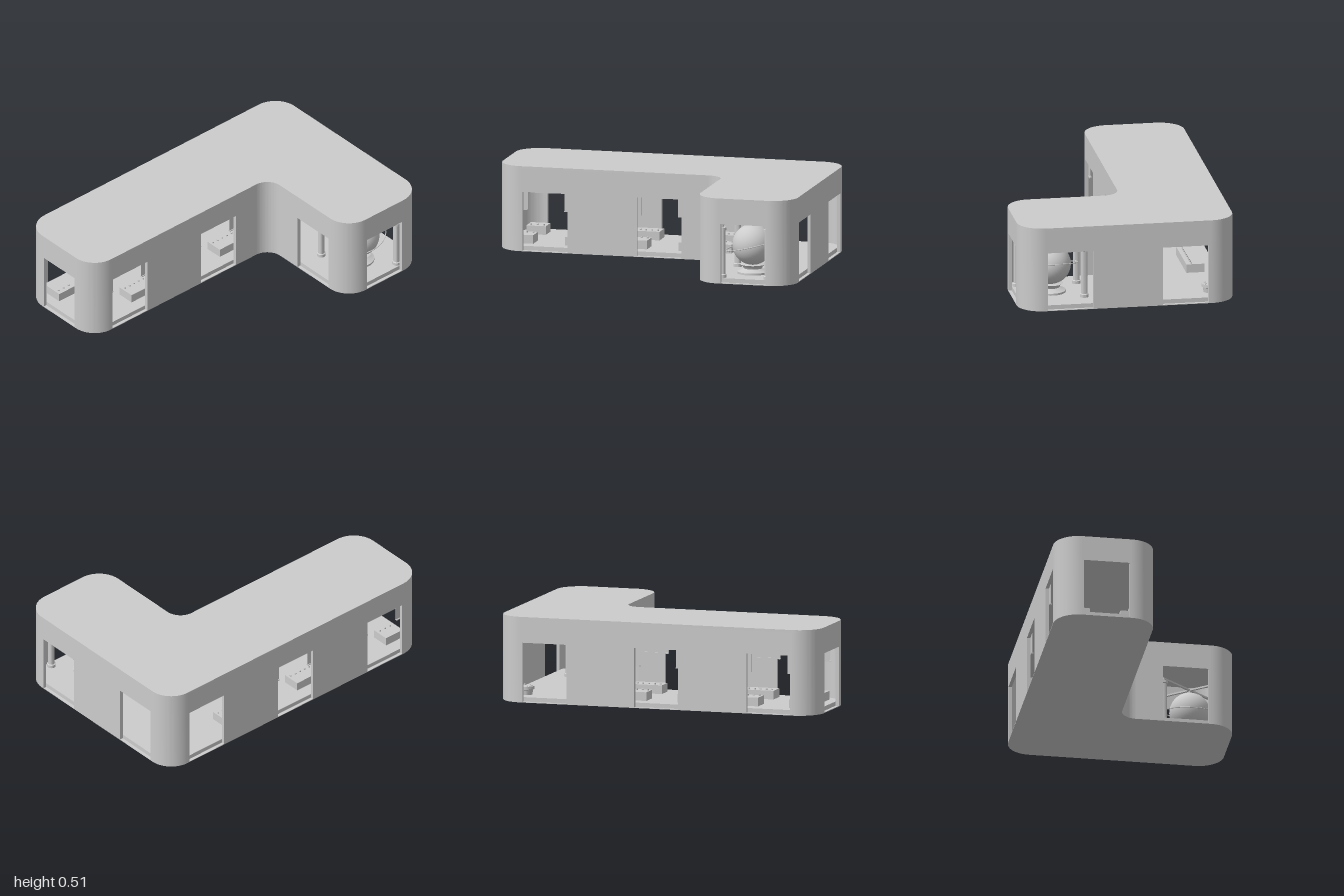
import * as THREE from 'three';
import { toCreasedNormals } from 'three/addons/utils/BufferGeometryUtils.js';

const T = 0.02, H = 0.515, DOOR = 0.36, W = 0.275, FLOOR = 0.03;
const mat = new THREE.MeshStandardMaterial({ color: 0xcccccc, side: THREE.DoubleSide });

function add(parent, name, geo, x = 0, y = 0, z = 0) {
  const m = new THREE.Mesh(geo, mat);
  m.name = name;
  m.position.set(x, y, z);
  parent.add(m);
  return m;
}

// L-shaped rounded plan, inset by d (shape y is -z)
function plan(d) {
  const s = new THREE.Shape(), P = Math.PI, r = 0.15 - d;
  s.moveTo(-0.85, 0.05 + d);
  s.lineTo(0.3, 0.05 + d);
  s.absarc(0.3, -0.05, 0.1 + d, P / 2, 0, true);
  s.lineTo(0.4 + d, -0.5);
  s.absarc(0.55, -0.5, r, P, 1.5 * P, false);
  s.absarc(0.85, -0.5, r, 1.5 * P, 2 * P, false);
  s.absarc(0.85, 0.5, r, 0, P / 2, false);
  s.absarc(-0.85, 0.5, r, P / 2, P, false);
  s.absarc(-0.85, 0.2, r, P, 1.5 * P, false);
  return s;
}

// Extrude a plan shape upward
function rise(shape, h) {
  const g = new THREE.ExtrudeGeometry(shape, { depth: h, bevelEnabled: false, curveSegments: 12 });
  return toCreasedNormals(g.rotateX(-Math.PI / 2), 0.5);
}

// Straight wall with doorways; outer face on local z = 0
function wall(parent, name, x, z, turn, len, doors) {
  const s = new THREE.Shape();
  s.moveTo(-len / 2, 0);
  for (const c of doors) {
    s.lineTo(c - W / 2, 0);
    s.lineTo(c - W / 2, DOOR);
    s.lineTo(c + W / 2, DOOR);
    s.lineTo(c + W / 2, 0);
  }
  s.lineTo(len / 2, 0);
  s.lineTo(len / 2, H);
  s.lineTo(-len / 2, H);
  const g = new THREE.ExtrudeGeometry(s, { depth: T, bevelEnabled: false }).translate(0, 0, -T);
  add(parent, name, g, x, 0, z).rotation.y = turn;
}

// Quarter-round wall between radii r0 and r1
function corner(parent, cx, cy, r0, r1, a) {
  const s = new THREE.Shape();
  s.absarc(cx, cy, r1, a, a + Math.PI / 2, false);
  s.absarc(cx, cy, r0, a + Math.PI / 2, a, true);
  add(parent, 'roundedCorner', rise(s, H));
}

function lathe(points, n = 40) {
  return toCreasedNormals(new THREE.LatheGeometry(points.map(p => new THREE.Vector2(...p)), n), 0.6);
}

// Low console with a row of buttons and a sloping reading panel
function desk(parent, x0, x1, z, side) {
  const g = new THREE.Group(), len = x1 - x0;
  g.name = 'consoleDesk';
  g.position.set((x0 + x1) / 2, FLOOR, z);
  add(g, 'deskBody', new THREE.BoxGeometry(len, 0.052, 0.11), 0, 0.026, 0);
  const n = Math.max(3, Math.round(len / 0.035));
  for (let i = 0; i < n; i++)
    add(g, 'button', new THREE.CylinderGeometry(0.006, 0.006, 0.008, 10),
      -len / 2 + (i + 0.5) * len / n, 0.056, -side * 0.025);
  parent.add(g);
}

export function createModel() {
  const root = new THREE.Group();
  root.name = 'pavilion';
  const P = Math.PI;

  // Shell: base, floor, roof, walls and corners
  const shell = new THREE.Group();
  shell.name = 'shell';
  root.add(shell);
  add(shell, 'basePlate', rise(plan(0), 0.004));
  add(shell, 'floor', rise(plan(T), FLOOR));
  add(shell, 'roof', rise(plan(0), 0.015), 0, H - 0.015, 0);
  wall(shell, 'wingFrontWall', -0.275, -0.05, 0, 1.15, [-0.4275, 0.275]);
  wall(shell, 'innerSideWall', 0.4, 0.275, -P / 2, 0.45, [0.0725]);
  wall(shell, 'endWall', 0.7, 0.65, 0, 0.3, [0]);
  wall(shell, 'sideWall', 1, 0, P / 2, 1, [-0.3475, 0.3475]);
  wall(shell, 'backWall', 0, -0.65, P, 1.7, [-0.7, 0, 0.7025]);
  wall(shell, 'farSideWall', -1, -0.35, -P / 2, 0.3, [0]);
  for (const [x, y, a] of [[0.55, -0.5, P], [0.85, -0.5, 1.5 * P], [0.85, 0.5, 0], [-0.85, 0.5, P / 2], [-0.85, 0.2, P]])
    corner(shell, x, y, 0.15 - T, 0.15, a);
  corner(shell, 0.3, -0.05, 0.1, 0.1 + T, 0);

  // Globe on a waisted pedestal, with a tilted orbit ring
  const globe = new THREE.Group();
  globe.name = 'globeExhibit';
  globe.position.set(0.7, 0, 0.42);
  root.add(globe);
  add(globe, 'globe', new THREE.SphereGeometry(0.122, 40, 28), 0, 0.203, 0);
  add(globe, 'pedestal', lathe([[0, 0.03], [0.092, 0.03], [0.092, 0.042], [0.08, 0.046], [0.055, 0.06],
    [0.06, 0.072], [0.075, 0.084], [0.07, 0.086], [0, 0.08]]));
  const orbit = new THREE.Group();
  orbit.name = 'orbit';
  orbit.position.y = 0.205;
  orbit.rotation.z = 0.235;
  globe.add(orbit);
  add(orbit, 'orbitRing', new THREE.TorusGeometry(0.163, 0.003, 8, 64).rotateX(P / 2));
  for (const a of [0.3, 2.4, 4.5])
    add(orbit, 'orbitBead', new THREE.SphereGeometry(0.008, 12, 8), 0.163 * Math.cos(a), 0, 0.163 * Math.sin(a));
  add(globe, 'hangerRod', new THREE.CylinderGeometry(0.006, 0.006, 0.035, 12), 0, 0.338, 0);

  // Four columns around the globe, tied by crossing beams
  const column = lathe([[0, 0.03], [0.026, 0.03], [0.026, 0.048], [0.02, 0.052], [0.02, 0.315],
    [0.026, 0.318], [0.026, 0.333], [0, 0.333]], 24);
  for (const sx of [-1, 1]) for (const sz of [-1, 1]) {
    add(globe, 'column', column, sx * 0.14, 0, sz * 0.18);
    add(globe, 'columnPin', new THREE.CylinderGeometry(0.008, 0.008, 0.02, 10), sx * 0.14, 0.342, sz * 0.18);
  }
  for (const s of [-1, 1])
    add(globe, 'crossBeam', new THREE.BoxGeometry(0.012, 0.01, 0.47), 0, 0.352, 0).rotation.y = s * Math.atan2(0.14, 0.18);

  // Console desks and wall rails along both sides of the wing
  for (const side of [-1, 1]) {
    const z = -0.3475 + side * 0.147;
    desk(root, -0.92, -0.8, z, side);
    desk(root, -0.605, -0.1, z, side);
    desk(root, 0.095, side > 0 ? 0.42 : 0.47, z, side);
    for (const [x0, x1] of [[-0.92, -0.815], [-0.59, -0.115], [0.11, 0.45]]) {
      const zw = side > 0 ? -0.078 : -0.622;
      add(root, 'wallRail', new THREE.BoxGeometry(x1 - x0, 0.006, 0.015), (x0 + x1) / 2, 0.25, zw);
      add(root, 'wallPanel', new THREE.BoxGeometry(x1 - x0, 0.18, 0.004), (x0 + x1) / 2, 0.343, zw);
    }
  }

  // Round drum seat in the back corner
  add(root, 'drum', lathe([[0, 0.03], [0.038, 0.03], [0.042, 0.06], [0.05, 0.064], [0.05, 0.082], [0, 0.082]], 28), 0.86, 0, -0.515);
  for (let i = 0; i < 6; i++)
    add(root, 'drumStud', new THREE.SphereGeometry(0.006, 8, 6),
      0.86 + 0.034 * Math.cos(i * P / 3), 0.084, -0.515 + 0.034 * Math.sin(i * P / 3));

  return root;
}
